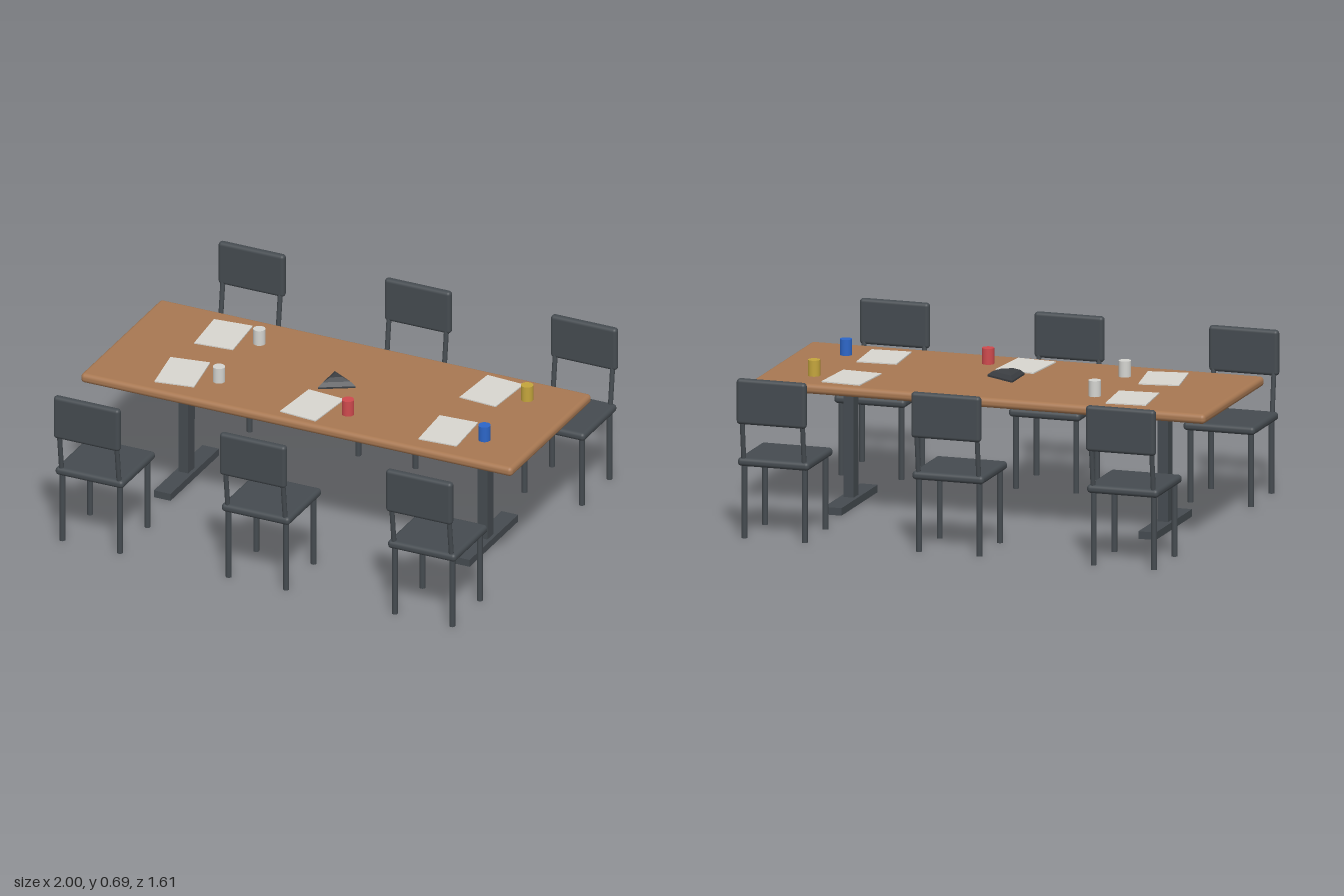
import * as THREE from 'three';
import { RoundedBoxGeometry } from 'three/addons/geometries/RoundedBoxGeometry.js';

const material = (name, color) => {
  const m = new THREE.MeshStandardMaterial({ color });
  m.name = name;
  return m;
};

function addMesh(parent, name, geometry, mat, x = 0, y = 0, z = 0) {
  const mesh = new THREE.Mesh(geometry, mat);
  mesh.name = name;
  mesh.position.set(x, y, z);
  parent.add(mesh);
  return mesh;
}

// Straight round bar between two points
function addRod(parent, name, a, b, radius, mat) {
  const path = new THREE.LineCurve3(new THREE.Vector3(...a), new THREE.Vector3(...b));
  const dir = path.v2.clone().sub(path.v1);
  const rod = addMesh(parent, name, new THREE.CylinderGeometry(radius, radius, dir.length(), 12), mat);
  rod.position.copy(path.getPoint(0.5));
  rod.quaternion.setFromUnitVectors(new THREE.Vector3(0, 1, 0), dir.normalize());
}

const TABLE_TOP = 0.588;

export function createModel() {
  const model = new THREE.Group();
  model.name = 'meetingTable';

  const wood = material('wood', 0xa87852);
  const charcoal = material('charcoal', 0x454b50);
  const phoneGrey = material('phoneGrey', 0x3c3f43);
  const paper = material('paper', 0xd8d6d0);
  const white = material('whiteMug', 0xd4d4d0);
  const red = material('redMug', 0xcf4a4e);
  const blue = material('blueMug', 0x2c66c8);
  const yellow = material('yellowMug', 0xc4a53c);

  // Table top with rounded edge
  addMesh(model, 'tableTop', new RoundedBoxGeometry(2, 0.042, 0.77, 4, 0.018), wood, 0, TABLE_TOP - 0.021, 0);

  // Two pedestals: column and long foot
  for (const side of [-1, 1]) {
    const pedestal = new THREE.Group();
    pedestal.name = 'pedestal';
    pedestal.position.x = side * 0.693;
    addMesh(pedestal, 'column', new THREE.BoxGeometry(0.046, 0.53, 0.06), charcoal, 0, 0.285, 0);
    addMesh(pedestal, 'foot', new THREE.BoxGeometry(0.077, 0.032, 0.462), charcoal, 0, 0.016, 0);
    model.add(pedestal);
  }

  // Chair, facing the table from +z
  function makeChair() {
    const chair = new THREE.Group();
    chair.name = 'chair';
    addMesh(chair, 'seat', new RoundedBoxGeometry(0.316, 0.036, 0.32, 4, 0.016), charcoal, 0, 0.328, 0.616);
    addMesh(chair, 'backrest', new RoundedBoxGeometry(0.306, 0.195, 0.034, 4, 0.015), charcoal, 0, 0.593, 0.787);
    for (const x of [-0.133, 0.133]) {
      for (const z of [0.487, 0.75]) addRod(chair, 'leg', [x, 0, z], [x, 0.32, z], 0.0125, charcoal);
      addRod(chair, 'backPost', [x, 0.33, 0.758], [x, 0.54, 0.784], 0.0105, charcoal);
    }
    return chair;
  }
  for (const x of [-0.77, 0, 0.77]) {
    for (const turn of [0, Math.PI]) {
      const chair = makeChair();
      chair.position.x = x;
      chair.rotation.y = turn;
      model.add(chair);
    }
  }

  // Sheets of paper: x, z, turn
  for (const [x, z, turn] of [
    [-0.616, -0.195, 0.09], [-0.62, 0.19, 0.16], [0, 0.227, -0.09],
    [0.615, -0.218, -0.07], [0.612, 0.19, 0.06],
  ]) {
    const sheet = addMesh(model, 'paperSheet', new THREE.BoxGeometry(0.173, 0.005, 0.232), paper, x, TABLE_TOP + 0.0025, z);
    sheet.rotation.y = turn;
  }

  // Mugs
  for (const [x, z, mat] of [
    [-0.45, -0.195, white], [-0.45, 0.19, white], [0.166, 0.227, red],
    [0.78, -0.218, yellow], [0.78, 0.19, blue],
  ]) {
    addMesh(model, 'mug', new THREE.CylinderGeometry(0.026, 0.026, 0.068, 20), mat, x, TABLE_TOP + 0.034, z);
  }

  // Three-cornered table phone, stepped slopes with crisp facets
  const profile = [[0.091, 0], [0.091, 0.008], [0.067, 0.025], [0.03, 0.038], [0, 0.038]]
    .map(([r, y]) => new THREE.Vector2(r, y));
  const phone = new THREE.LatheGeometry(profile, 3, Math.PI / 2).toNonIndexed();
  phone.computeVertexNormals();
  addMesh(model, 'tablePhone', phone, phoneGrey, 0, TABLE_TOP, 0);

  return model;
}
